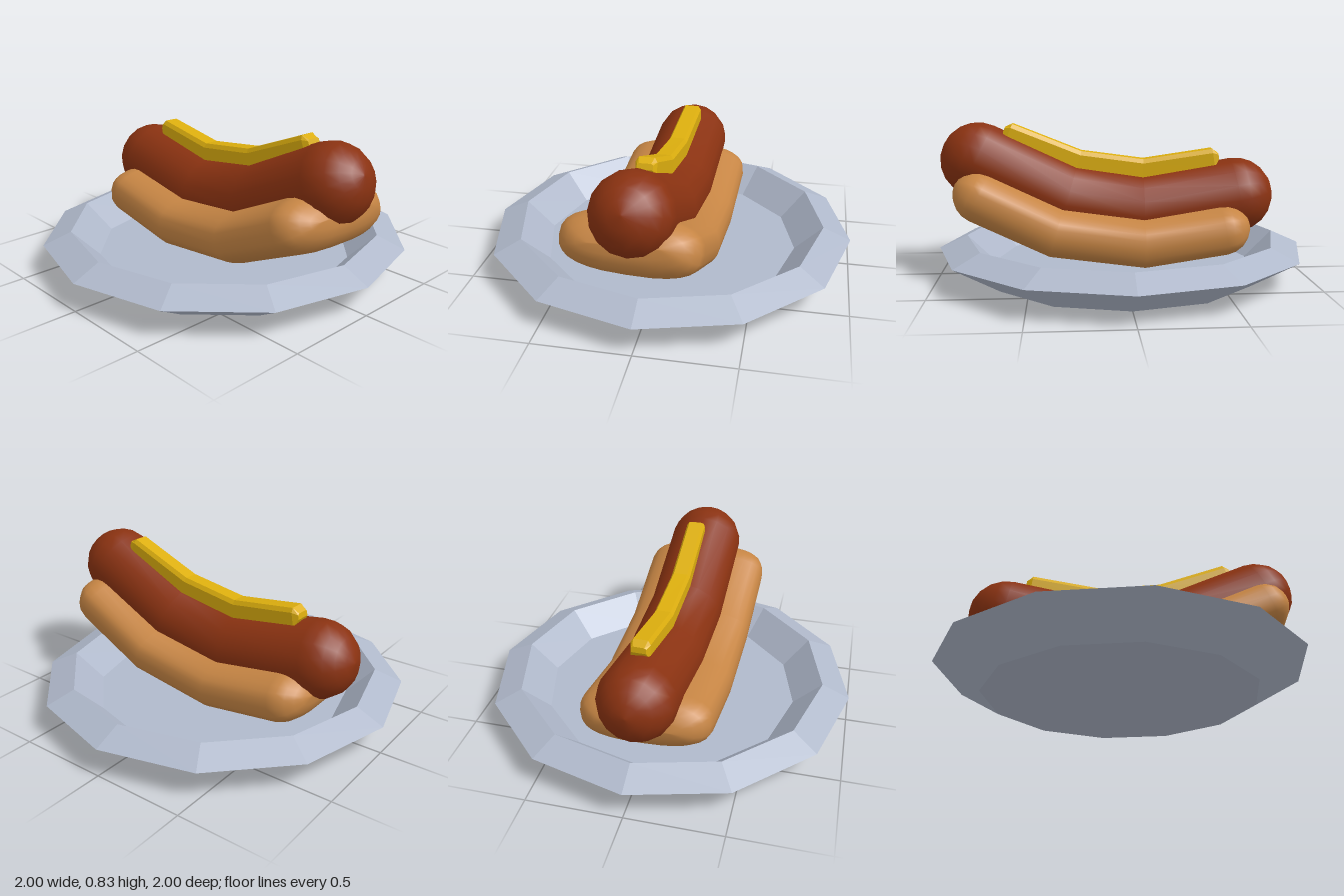
import * as THREE from 'three';

const mat = (name, color) => {
  const m = new THREE.MeshStandardMaterial({ color });
  m.name = name;
  return m;
};

// Sweep a counter-clockwise section along a path running from back to front.
// caps: [distance past the end, width scale, height scale], from the body outwards.
function sweep(section, path, caps) {
  const pts = path.map((p) => new THREE.Vector3(...p));
  const last = pts.length - 1;
  const tangent = (i) => pts[Math.min(i + 1, last)].clone().sub(pts[Math.max(i - 1, 0)]).normalize();
  const bisector = (i) => {
    if (i === 0 || i === last) return tangent(i);
    const a = pts[i].clone().sub(pts[i - 1]).normalize();
    const b = pts[i + 1].clone().sub(pts[i]).normalize();
    return a.add(b).normalize();
  };
  const rings = [];
  const t0 = bisector(0), t1 = bisector(last);
  [...caps].reverse().forEach(([d, su, sv]) => rings.push([pts[0].clone().addScaledVector(t0, -d), t0, su, sv]));
  pts.forEach((p, i) => rings.push([p, bisector(i), 1, 1]));
  caps.forEach(([d, su, sv]) => rings.push([pts[last].clone().addScaledVector(t1, d), t1, su, sv]));

  const pos = [], index = [], n = section.length;
  for (const [c, t, su, sv] of rings) {
    const up = t.clone().cross(new THREE.Vector3(1, 0, 0)).normalize();
    const side = up.clone().cross(t);
    for (const [u, v] of section) {
      pos.push(...c.clone().addScaledVector(side, u * su).addScaledVector(up, v * sv).toArray());
    }
  }
  for (let i = 0; i < rings.length - 1; i++) {
    for (let j = 0; j < n; j++) {
      const k = (j + 1) % n;
      const a = i * n + j, b = i * n + k, c = b + n, d = a + n;
      index.push(a, b, c, a, c, d);
    }
  }
  // Close both ends with a fan
  const first = pos.length / 3, end = (rings.length - 1) * n;
  pos.push(...rings[0][0].toArray(), ...rings[rings.length - 1][0].toArray());
  for (let j = 0; j < n; j++) {
    const k = (j + 1) % n;
    index.push(first, k, j, first + 1, end + j, end + k);
  }
  const g = new THREE.BufferGeometry();
  g.setAttribute('position', new THREE.Float32BufferAttribute(pos, 3));
  g.setIndex(index);
  g.computeVertexNormals();
  return g;
}

// Superellipse section, rolled a little about the path
function oval(w, h, power, sides, roll = 0) {
  return Array.from({ length: sides }, (_, i) => {
    const a = (i / sides) * Math.PI * 2, c = Math.cos(a), s = Math.sin(a);
    const u = w * Math.sign(c) * Math.abs(c) ** (2 / power);
    const v = h * Math.sign(s) * Math.abs(s) ** (2 / power);
    return [u * Math.cos(roll) - v * Math.sin(roll), u * Math.sin(roll) + v * Math.cos(roll)];
  });
}

// Rounded end of a given depth; the width shrinks by the inset
function roundCap(depth, width, inset, steps) {
  return Array.from({ length: steps }, (_, i) => {
    const a = ((i + 1) / steps) * Math.PI * 0.49;
    return [depth * Math.sin(a), 1 - (inset / width) * (1 - Math.cos(a)), Math.cos(a)];
  });
}

function flat(geometry) {
  const g = geometry.toNonIndexed();
  g.computeVertexNormals();
  return g;
}

export function createModel() {
  const group = new THREE.Group();
  const add = (name, geometry, material) => {
    const m = new THREE.Mesh(geometry, material);
    m.name = name;
    group.add(m);
  };

  // Twelve-sided plate with a sloping rim
  const profile = [[0, 0], [0.745, 0], [1, 0.15], [0.85, 0.217], [0.7, 0.07], [0, 0.07]];
  const plate = new THREE.LatheGeometry(profile.map((p) => new THREE.Vector2(...p)), 12);
  add('plate', flat(plate), mat('plate grey', 0xb0b9cb));

  // Bun, bent upwards at both ends
  add('bun', sweep(
    oval(0.352, 0.148, 2.7, 28, -0.05),
    [[0.0, 0.275, -0.54], [-0.015, 0.207, -0.12], [-0.03, 0.265, 0.35], [-0.048, 0.452, 0.75]],
    roundCap(0.15, 0.352, 0.18, 5),
  ), mat('bun tan', 0xc68544));

  // Sausage
  add('sausage', sweep(
    oval(0.207, 0.207, 2, 16),
    [[0.018, 0.43, -0.63], [0.003, 0.343, -0.12], [-0.015, 0.405, 0.3], [-0.032, 0.628, 0.778]],
    roundCap(0.207, 0.207, 0.207, 5),
  ), mat('sausage brown', 0x8a3211));

  // Bevelled strip of mustard along the top
  add('mustard', flat(sweep(
    [[0.052, -0.06], [0.052, 0.02], [0.038, 0.042], [-0.038, 0.042], [-0.052, 0.02], [-0.052, -0.06]],
    [[0.035, 0.65, -0.5], [0.015, 0.593, -0.12], [0.002, 0.64, 0.23], [-0.004, 0.79, 0.605]],
    [[0.03, 0.75, 0.3]],
  )), mat('mustard yellow', 0xdcae0e));

  return group;
}
